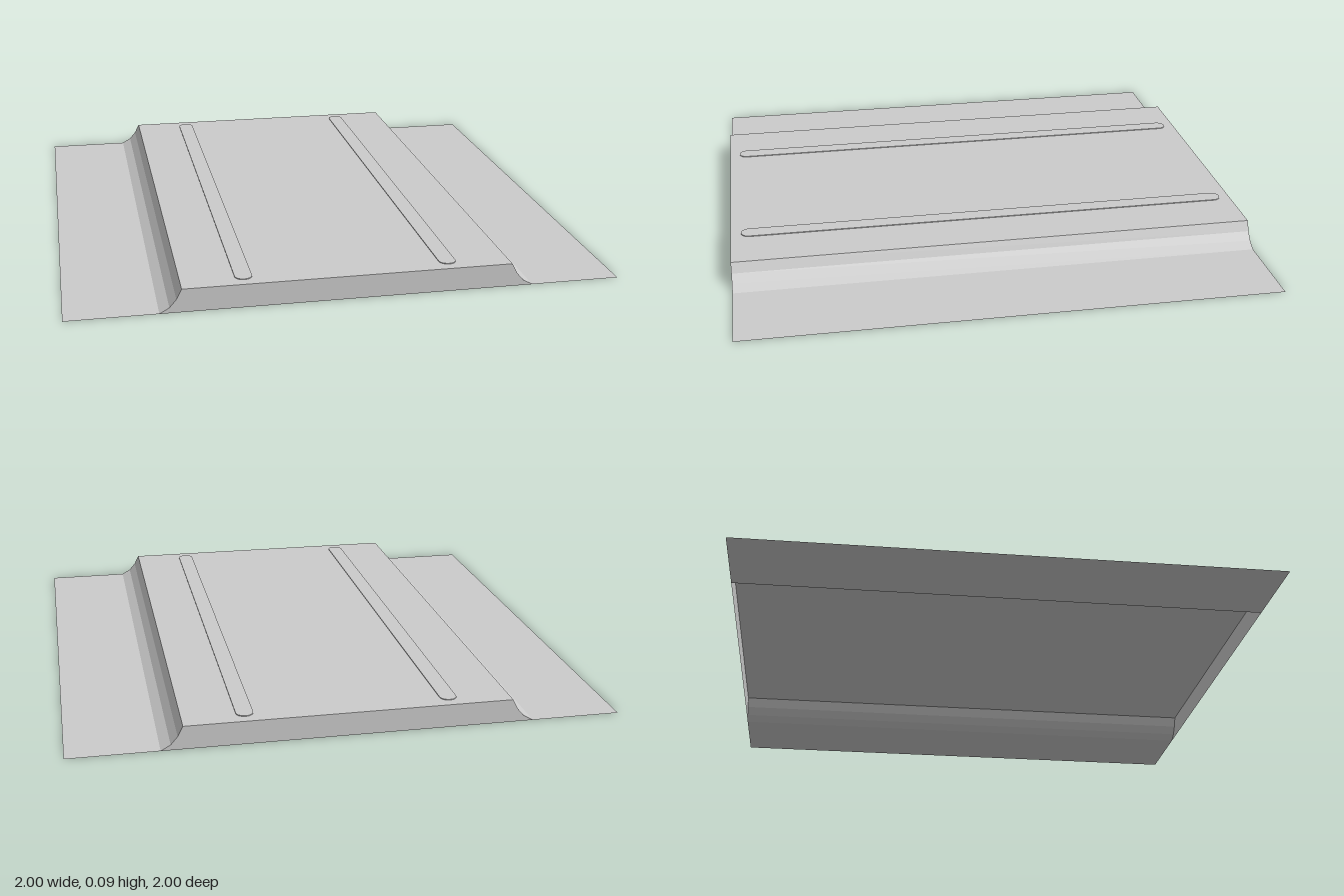
import * as THREE from 'three';

const material = new THREE.MeshStandardMaterial({
  color: 0xcccccc, flatShading: true, side: THREE.DoubleSide,
});

const TOP = 0.086;
// Concave bank, from the road edge down to the ground
const BANK = [[0.593, TOP], [0.612, 0.049], [0.637, 0.02], [0.672, 0]];
const mirrored = (points) => points.map(([x, y]) => [-x, y]).reverse();

function addMesh(group, name, geometry) {
  const mesh = new THREE.Mesh(geometry, material);
  mesh.name = name;
  group.add(mesh);
  return mesh;
}

// Open sheet that sweeps an (x, y) profile, left to right, along z
function sheet(profile) {
  const geometry = new THREE.PlaneGeometry(2, 2, profile.length - 1, 1).rotateX(-Math.PI / 2);
  const position = geometry.attributes.position;
  for (let i = 0; i < position.count; i++) {
    const [x, y] = profile[i % profile.length];
    position.setXY(i, x, y);
  }
  geometry.computeVertexNormals();
  return geometry;
}

// Long, thin slab with round ends, lying on the road
function stripGeometry(halfWidth, halfLength, height) {
  const shape = new THREE.Shape();
  const end = halfLength - halfWidth;
  shape.absarc(0, end, halfWidth, 0, Math.PI);
  shape.absarc(0, -end, halfWidth, Math.PI, Math.PI * 2);
  return new THREE.ExtrudeGeometry(shape, { depth: height, bevelEnabled: false, curveSegments: 8 })
    .rotateX(-Math.PI / 2);
}

export function createModel() {
  const group = new THREE.Group();
  group.name = 'roadSection';

  // Road surface, banks and flat verges; the underside stays open
  const edge = BANK[0][0], foot = BANK[BANK.length - 1][0];
  const verge = [[foot, 0], [1, 0]];
  addMesh(group, 'roadSurface', sheet([[-edge, TOP], [edge, TOP]]));
  addMesh(group, 'leftBank', sheet(BANK));
  addMesh(group, 'rightBank', sheet(mirrored(BANK)));
  addMesh(group, 'leftVerge', sheet(verge));
  addMesh(group, 'rightVerge', sheet(mirrored(verge)));

  // End walls closing the road body
  const outline = [...mirrored(BANK), ...BANK].map(([x, y]) => new THREE.Vector2(x, y));
  const wall = new THREE.ShapeGeometry(new THREE.Shape(outline));
  addMesh(group, 'frontEnd', wall).position.z = 1;
  const back = addMesh(group, 'backEnd', wall);
  back.position.z = -1;
  back.rotation.y = Math.PI;

  // Raised lane strips
  const strip = stripGeometry(0.031, 0.96, 0.003);
  for (const [name, side] of [['leftLaneStrip', 1], ['rightLaneStrip', -1]]) {
    addMesh(group, name, strip).position.set(side * 0.37, TOP, 0);
  }
  return group;
}
